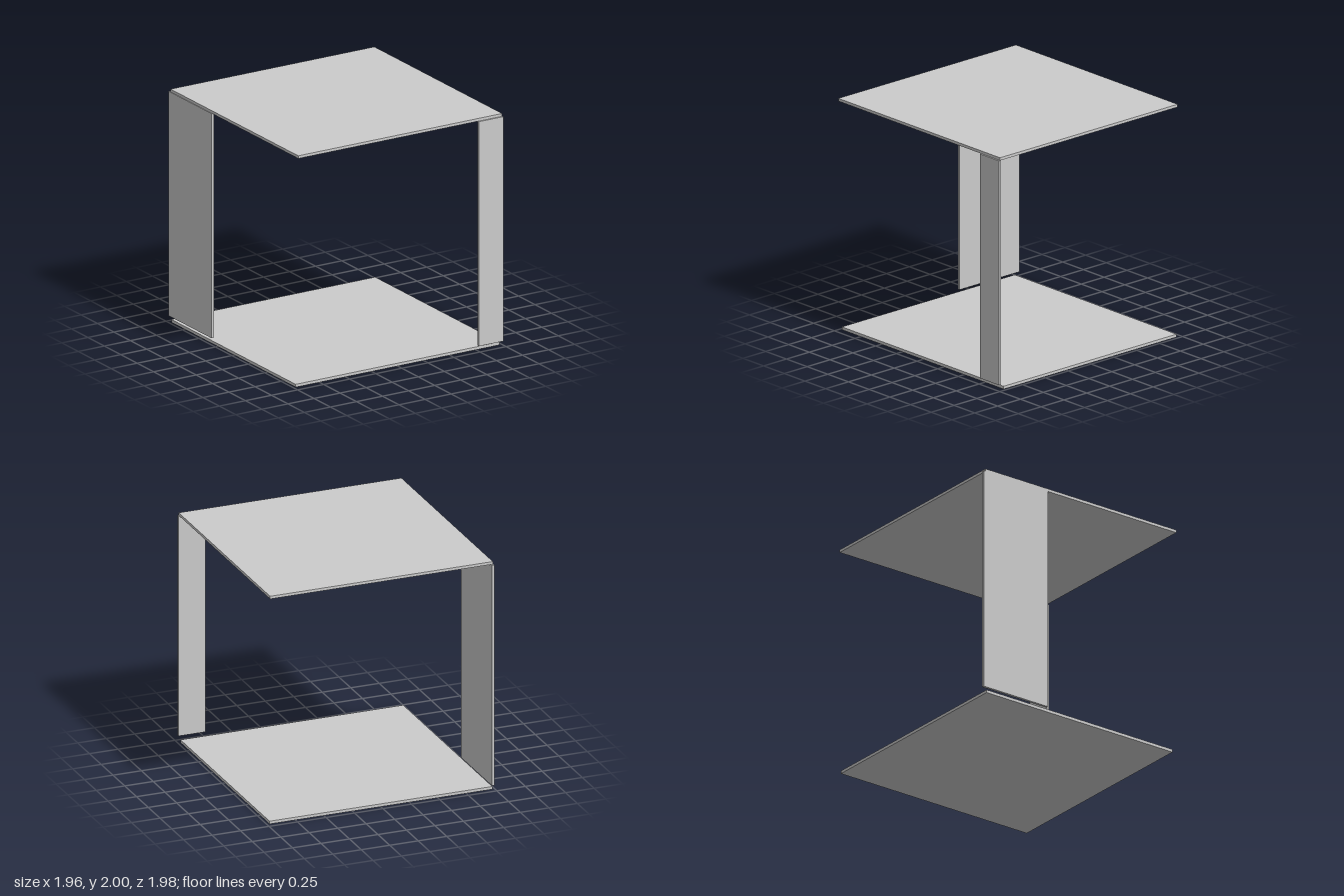
import * as THREE from 'three';

const material = new THREE.MeshStandardMaterial({ color: 0xcccccc, flatShading: true });

// Flat board given by its extents along each axis
function board(name, [x0, x1], [y0, y1], [z0, z1]) {
  const mesh = new THREE.Mesh(new THREE.BoxGeometry(x1 - x0, y1 - y0, z1 - z0), material);
  mesh.name = name;
  mesh.position.set((x0 + x1) / 2, (y0 + y1) / 2, (z0 + z1) / 2);
  return mesh;
}

export function createModel() {
  const group = new THREE.Group();
  group.name = 'openSideTable';
  const uprightY = [0.047, 1.976];

  group.add(
    // Horizontal boards
    board('topBoard', [-0.978, 0.977], [1.976, 2], [-0.968, 0.976]),
    board('bottomBoard', [-0.978, 0.977], [0, 0.025], [-0.956, 0.937]),
    // Uprights at opposite corners, floating just above the bottom board
    board('frontUpright', [0.747, 0.981], uprightY, [0.967, 0.989]),
    board('rightUpright', [-0.983, -0.961], uprightY, [-0.989, -0.336])
  );
  return group;
}
